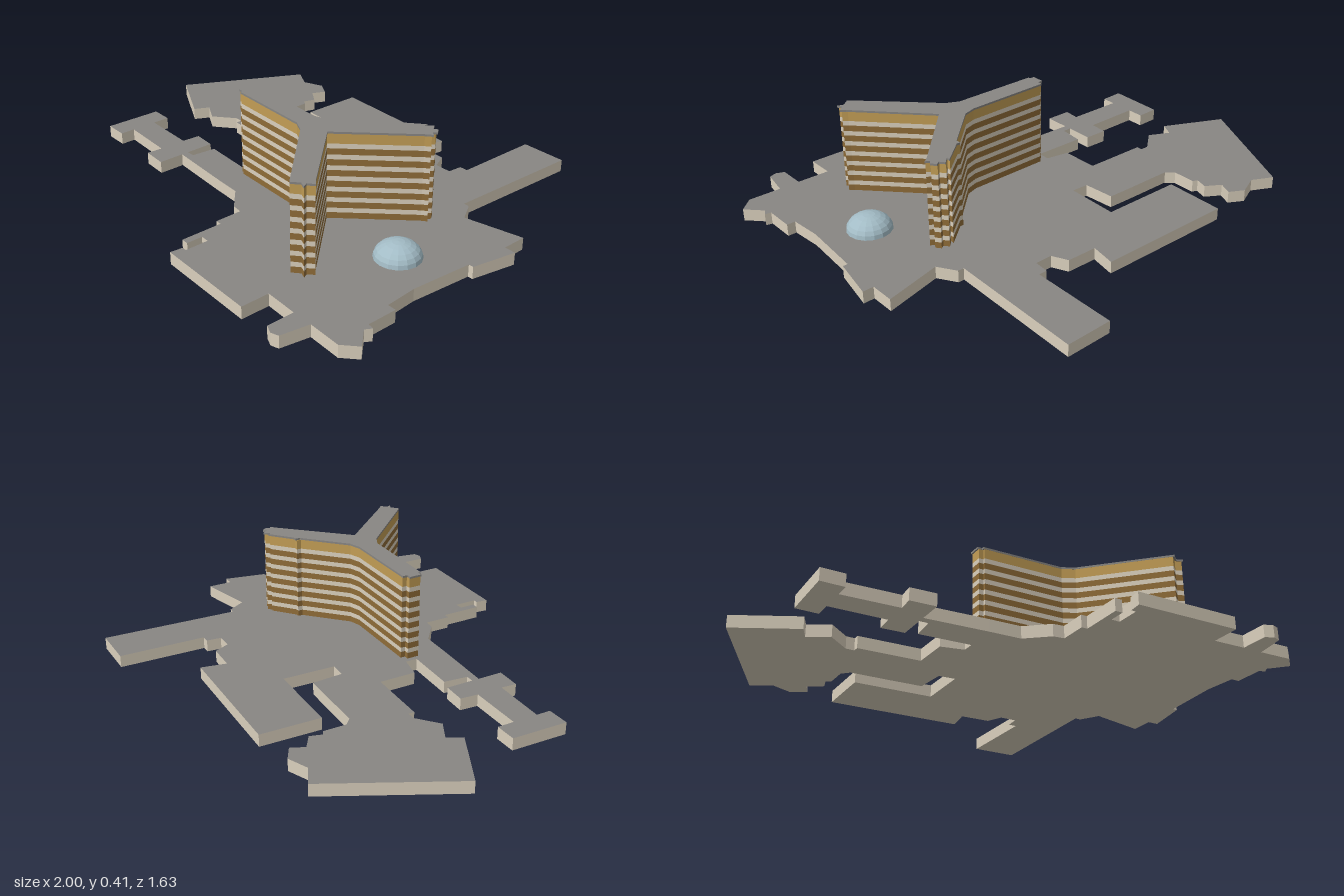
import * as THREE from 'three';

const mat = (name, color) => new THREE.MeshStandardMaterial({ name, color, flatShading: true });

export function createModel() {
  const model = new THREE.Group();
  model.name = 'hotelComplex';
  const roofGrey = mat('roof grey', 0x888683);
  const stone = mat('pale stone', 0xdad0bd);
  const windows = mat('bronze windows', 0x8f6c38);
  const crown = mat('gold crown', 0xc29d55);
  const glass = mat('dome glass', 0xa3bcc6);

  // Upright block from a ground plan of x, z pairs; underside matches the walls
  function block(name, plan, y, height, top, sides, parent) {
    const points = [];
    for (let i = 0; i < plan.length; i += 2) points.push(new THREE.Vector2(plan[i], -plan[i + 1]));
    const geometry = new THREE.ExtrudeGeometry(new THREE.Shape(points), { depth: height, bevelEnabled: false });
    geometry.rotateX(-Math.PI / 2);
    const [caps, walls] = geometry.groups;
    geometry.clearGroups();
    geometry.addGroup(0, caps.count / 2, 1);
    geometry.addGroup(caps.count / 2, caps.count / 2, 0);
    geometry.addGroup(walls.start, walls.count, 1);
    const mesh = new THREE.Mesh(geometry, [top, sides]);
    mesh.name = name;
    mesh.position.y = y;
    parent.add(mesh);
    return mesh;
  }

  // Low podium: main hall, west pier and north-west wing meet edge to edge
  const podiumTop = 0.05;
  const podium = new THREE.Group();
  podium.name = 'podium';
  model.add(podium);
  block('mainHall', [
    0.44, -0.82, 0.63, -0.82, 0.61, -0.25, 0.635, -0.25, 0.68, -0.175, 0.915, -0.23,
    0.915, -0.13, 0.96, -0.13, 0.925, 0.05, 0.905, 0.05, 0.885, 0.3, 0.895, 0.43,
    0.93, 0.43, 0.93, 0.55, 0.955, 0.555, 0.94, 0.58, 1, 0.645, 0.945, 0.695,
    0.81, 0.69, 0.79, 0.805, 0.76, 0.815, 0.725, 0.8, 0.725, 0.69, 0.59, 0.685,
    0.59, 0.8, 0.165, 0.79, 0.17, 0.74, 0.19, 0.74, 0.19, 0.645, 0.155, 0.645,
    0.155, 0.71, 0.125, 0.71, 0.125, 0.54, 0.1, 0.54, 0.1, 0.43, 0.055, 0.425,
    -0.035, 0.35, -0.165, 0.345, -0.165, 0.16, -0.26, 0.14, -0.26, -0.25, -0.14, -0.245,
    -0.13, -0.115, -0.06, -0.11, -0.055, -0.33, -0.39, -0.34, -0.385, -0.59, 0.19, -0.575,
    0.17, -0.47, 0.295, -0.465, 0.325, -0.4, 0.395, -0.4, 0.4, -0.46, 0.435, -0.46,
  ], 0, podiumTop, roofGrey, stone, podium);
  block('westPier', [
    -0.165, 0.345, -0.425, 0.33, -0.425, 0.435, -0.53, 0.43, -0.525, 0.365, -0.755, 0.355,
    -0.755, 0.415, -0.85, 0.415, -0.845, 0.18, -0.755, 0.18, -0.755, 0.25, -0.525, 0.255,
    -0.52, 0.18, -0.425, 0.185, -0.425, 0.3, -0.39, 0.3, -0.38, 0.2, -0.165, 0.21,
  ], 0, podiumTop, roofGrey, stone, podium);
  block('northWestWing', [
    -0.26, -0.015, -0.52, -0.025, -0.52, -0.05, -0.555, -0.05, -0.64, 0.02, -0.725, -0.025,
    -0.755, 0.035, -1, -0.09, -0.745, -0.58, -0.66, -0.535, -0.575, -0.57, -0.515, -0.535,
    -0.54, -0.48, -0.48, -0.44, -0.495, -0.39, -0.475, -0.38, -0.475, -0.285, -0.445, -0.255,
    -0.26, -0.25,
  ], 0, podiumTop, roofGrey, stone, podium);

  // Three-armed tower with alternating window and stone bands
  const tower = new THREE.Group();
  tower.name = 'tower';
  model.add(tower);
  const plan = [
    -0.145, 0.23, -0.145, 0.18, -0.125, 0.18, -0.125, 0.16, 0.22, 0.165, 0.27, 0.15,
    0.43, 0, 0.43, -0.02, 0.445, -0.02, 0.535, -0.095, 0.535, -0.08, 0.56, -0.105,
    0.575, -0.085, 0.59, -0.095, 0.605, -0.075, 0.595, -0.06, 0.61, -0.05, 0.59, -0.035,
    0.347, 0.215, 0.59, 0.48, 0.608, 0.495, 0.585, 0.515, 0.595, 0.535, 0.57, 0.525,
    0.54, 0.55, 0.52, 0.53, 0.27, 0.275, 0.22, 0.25, -0.125, 0.24, -0.125, 0.23,
  ];
  const floors = 7, crownBase = 0.36, storey = (crownBase - podiumTop) / floors, windowHeight = 0.025;
  for (let i = 0; i < floors; i++) {
    const y = podiumTop + i * storey;
    block('windowBand', plan, y, windowHeight, windows, windows, tower);
    block('stoneBand', plan, y + windowHeight, storey - windowHeight, stone, stone, tower);
  }
  block('crownBand', plan, crownBase, 0.04, crown, crown, tower);

  // Roof slab with a slight overhang
  const roof = block('towerRoof', plan, 0.4, 0.008, roofGrey, roofGrey, tower);
  roof.scale.set(1.015, 1, 1.015);
  roof.position.x = -0.0035;
  roof.position.z = -0.0033;

  // Flattened glass dome
  const dome = new THREE.Mesh(new THREE.SphereGeometry(0.09, 16, 6, 0, Math.PI * 2, 0, Math.PI / 2), glass);
  dome.name = 'dome';
  dome.scale.y = 0.7;
  dome.position.set(0.708, podiumTop, 0.2);
  model.add(dome);

  return model;
}
